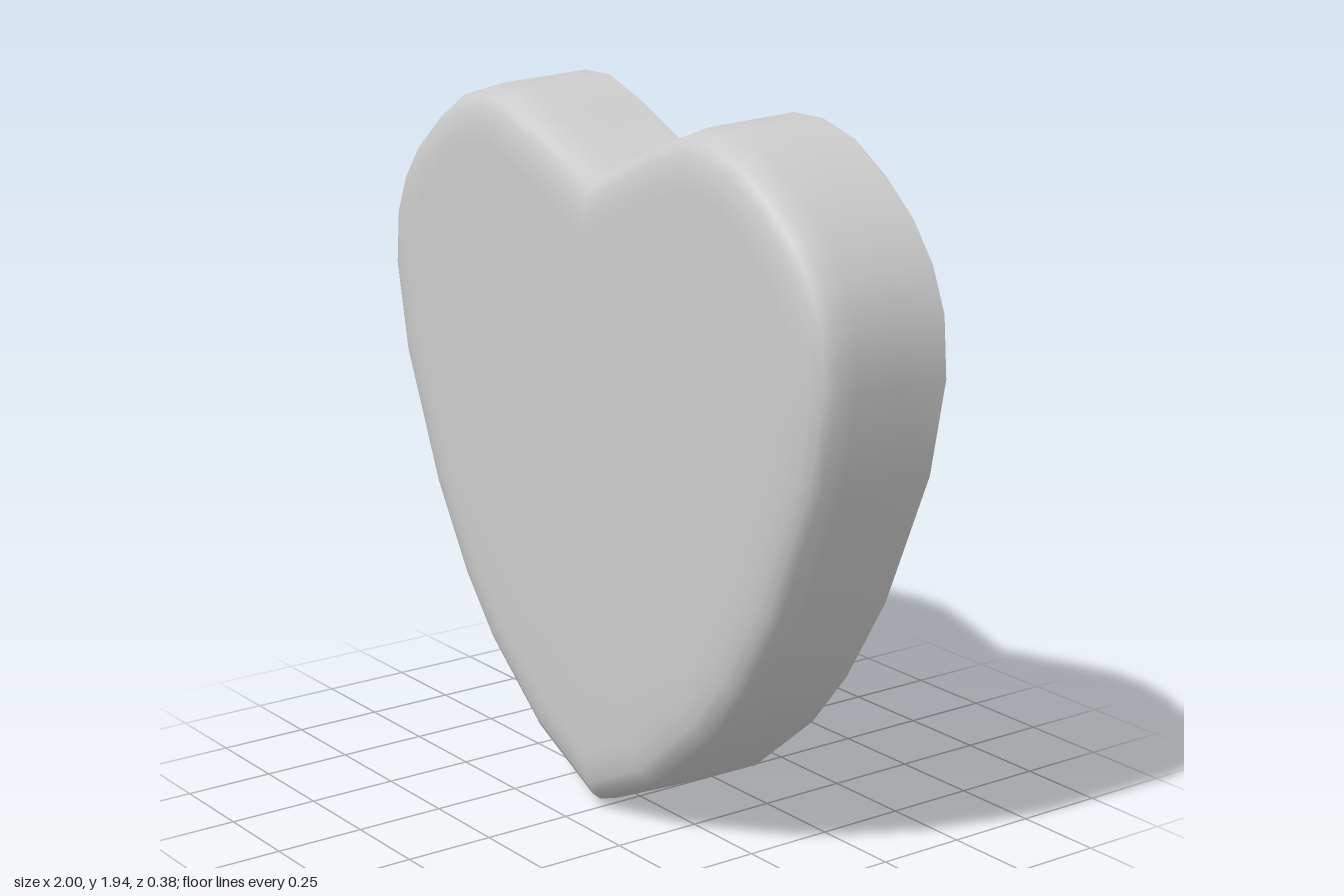
import * as THREE from 'three';

// Right half of the heart outline, from the bottom tip to the top notch
const half = [
  [0, 0.005], [0.275, 0.14], [0.515, 0.34], [0.65, 0.505], [0.795, 0.745],
  [0.95, 1.115], [1, 1.37], [0.987, 1.53], [0.94, 1.645], [0.865, 1.745],
  [0.76, 1.835], [0.64, 1.91], [0.515, 1.945], [0.4, 1.945], [0.25, 1.89], [0, 1.775],
].map(([x, y]) => new THREE.Vector2(x, y));

// Closed counter-clockwise outline
const mirrored = half.slice(1, -1).reverse().map((p) => new THREE.Vector2(-p.x, p.y));
const outline = [...half, ...mirrored];

// Moves every outline point inward by d along its mitred normal
function inset(d) {
  const n = outline.length;
  return outline.map((p, i) => {
    const e1 = p.clone().sub(outline[(i + n - 1) % n]).normalize();
    const e2 = outline[(i + 1) % n].clone().sub(p).normalize();
    const m = new THREE.Vector2(-e1.y - e2.y, e1.x + e2.x).normalize();
    const miter = m.dot(new THREE.Vector2(-e1.y, e1.x));
    return p.clone().addScaledVector(m, d / miter);
  });
}

// Thin shell: open back rim, side wall, rounded edge, flat front
function heartShell() {
  // [z, inset distance, scale toward the centre of the face]
  const rings = [
    [-0.19, 0, 1], [-0.05, 0.006, 1], [0.08, 0.012, 1], [0.135, 0.022, 1], [0.16, 0.041, 1],
    [0.176, 0.07, 1], [0.184, 0.115, 1], [0.187, 0.16, 1], [0.189, 0.16, 0.6], [0.19, 0.16, 0.25],
  ];
  const n = outline.length;
  const centreY = 1.05;
  const positions = [];
  const index = [];
  for (const [z, d, s] of rings) {
    for (const p of inset(d)) positions.push(p.x * s, centreY + (p.y - centreY) * s, z);
  }
  for (let i = 0; i < rings.length - 1; i++) {
    for (let j = 0; j < n; j++) {
      const a = i * n + j;
      const b = i * n + ((j + 1) % n);
      index.push(a, b, b + n, a, b + n, a + n);
    }
  }
  // Centre of the front face
  const centre = positions.length / 3;
  positions.push(0, centreY, 0.19);
  for (let j = 0; j < n; j++) index.push(centre - n + j, centre - n + ((j + 1) % n), centre);

  const geometry = new THREE.BufferGeometry();
  geometry.setAttribute('position', new THREE.Float32BufferAttribute(positions, 3));
  geometry.setIndex(index);
  geometry.computeVertexNormals();
  return geometry;
}

export function createModel() {
  const group = new THREE.Group();
  group.name = 'heart';
  const material = new THREE.MeshStandardMaterial({ color: 0xcccccc, side: THREE.DoubleSide });
  const shell = new THREE.Mesh(heartShell(), material);
  shell.name = 'heartShell';
  group.add(shell);
  return group;
}
